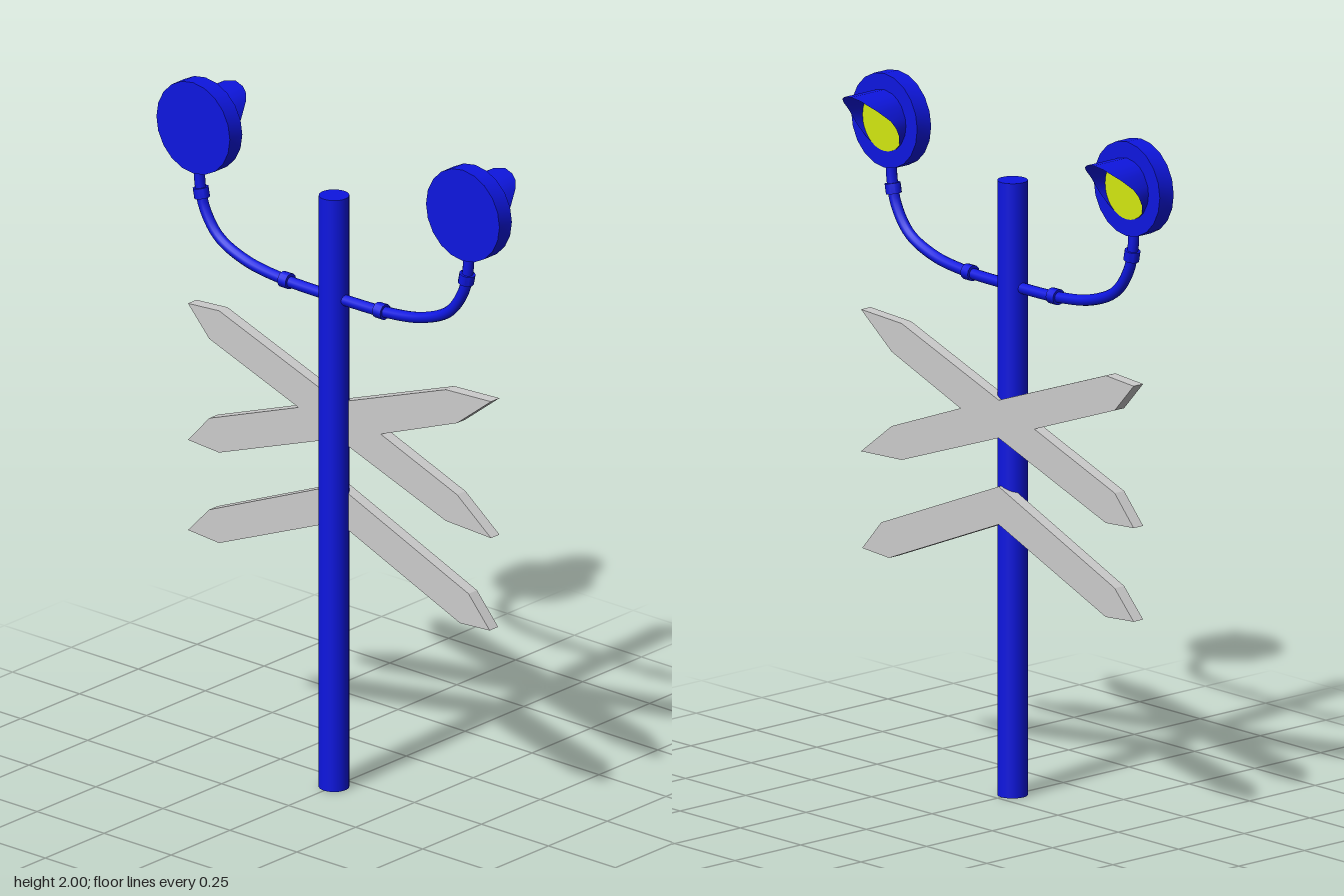
import * as THREE from 'three';
import { toCreasedNormals } from 'three/addons/utils/BufferGeometryUtils.js';

const POLE_X = -0.057;
const LAMP_Y = 1.863;
const LAMP_Z = 0.503;

const blue = new THREE.MeshStandardMaterial({ color: 0x0e16e0 });
const blueThin = new THREE.MeshStandardMaterial({ color: 0x0e16e0, side: THREE.DoubleSide });
const yellow = new THREE.MeshStandardMaterial({ color: 0xd2e810 });
const grey = new THREE.MeshStandardMaterial({ color: 0xcccccc });

function part(name, geometry, material, x = 0, y = 0, z = 0) {
  const mesh = new THREE.Mesh(geometry, material);
  mesh.name = name;
  mesh.position.set(x, y, z);
  return mesh;
}

// Disc or rod lying along x
function discX(radius, length, sides) {
  const g = new THREE.CylinderGeometry(radius, radius, length, sides);
  return toCreasedNormals(g.rotateZ(-Math.PI / 2), 0.6);
}

// Sign board: outline given as [z, y], extruded along x
function board(name, outline) {
  const shape = new THREE.Shape(outline.map(([z, y]) => new THREE.Vector2(-z, y)));
  const g = new THREE.ExtrudeGeometry(shape, { depth: 0.036, bevelEnabled: false });
  return part(name, g.rotateY(Math.PI / 2), grey, -0.04);
}

// Open hood: a tube whose reach falls off from the top towards the sides
function visorGeometry() {
  const reach = [[0, 0.097], [22, 0.09], [37, 0.08], [52, 0.06], [75, 0.024],
    [90, 0.007], [107, -0.008], [130, -0.024], [150, -0.031]];
  const rim = [...reach.slice(1).reverse().map(([a, x]) => [-a, x]), ...reach];
  const n = rim.length - 1;
  const g = new THREE.PlaneGeometry(1, 1, n, 1);
  const p = g.attributes.position;
  for (let i = 0; i < p.count; i++) {
    const [deg, x] = rim[i % (n + 1)];
    const a = THREE.MathUtils.degToRad(deg);
    p.setXYZ(i, i > n ? -0.032 : x, Math.cos(a) * 0.09, -Math.sin(a) * 0.09);
  }
  g.computeVertexNormals();
  return g;
}

function createLamp(side) {
  const lamp = new THREE.Group();
  lamp.name = side > 0 ? 'frontLamp' : 'backLamp';
  lamp.position.set(0, LAMP_Y, side * LAMP_Z);
  lamp.add(
    part('lampHousing', discX(0.137, 0.053, 20), blue, -0.0565),
    part('lens', discX(0.088, 0.01, 32), yellow, -0.0335),
    part('visor', visorGeometry(), blueThin)
  );
  return lamp;
}

function createArm(side) {
  const arm = new THREE.Group();
  arm.name = side > 0 ? 'frontArm' : 'backArm';
  const points = [[0, 1.478], [0.19, 1.482], [0.33, 1.502], [0.43, 1.547],
    [0.483, 1.62], [0.5, 1.69], [0.503, 1.75]]
    .map(([z, y]) => new THREE.Vector3(POLE_X, y, side * z));
  const curve = new THREE.CatmullRomCurve3(points);
  arm.add(part('armPipe', new THREE.TubeGeometry(curve, 40, 0.016, 12), blue));

  // Collars near the pole and under the lamp
  const collar = toCreasedNormals(new THREE.CylinderGeometry(0.023, 0.023, 0.03, 12), 0.6);
  const inner = part('innerCollar', collar, blue, POLE_X, 1.482, side * 0.177);
  inner.rotation.x = Math.PI / 2;
  const outer = part('outerCollar', collar, blue, POLE_X, 1.664, side * 0.495);
  outer.rotation.x = side * 0.2;
  arm.add(inner, outer);
  return arm;
}

export function createModel() {
  const model = new THREE.Group();
  model.name = 'crossingSignal';

  model.add(part('pole', new THREE.CylinderGeometry(0.043, 0.043, 1.785, 24), blue,
    POLE_X, 0.8925));

  for (const side of [1, -1]) model.add(createArm(side), createLamp(side));

  // Crossed boards: upper half mirrored about y = 1.1
  const upper = [[-0.148, 1.1], [-0.481, 1.22], [-0.56, 1.306], [-0.444, 1.314], [0, 1.155],
    [0.402, 1.298], [0.571, 1.306], [0.444, 1.208], [0.159, 1.1]];
  const lower = upper.slice(1, -1).reverse().map(([z, y]) => [z, 2.2 - y]);
  model.add(board('crossBoards', [...upper, ...lower]));

  // Downward chevron board
  model.add(board('chevronBoard', [[0, 0.904], [0.487, 0.704], [0.566, 0.614], [0.455, 0.607],
    [0, 0.794], [-0.444, 0.613], [-0.56, 0.622], [-0.481, 0.704]]));

  return model;
}
